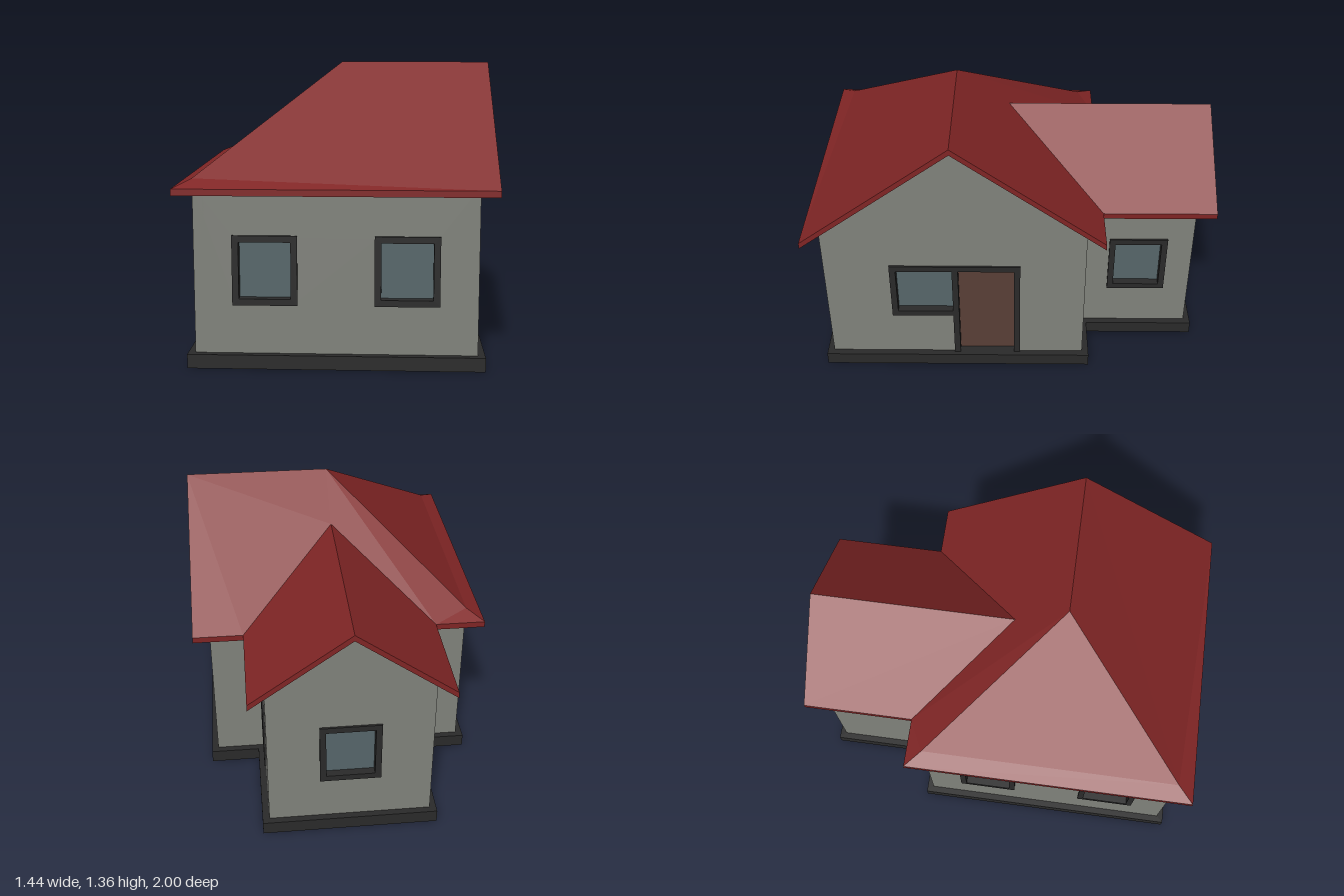
import * as THREE from 'three';

const mat = (color) => new THREE.MeshStandardMaterial({ color, flatShading: true, side: THREE.DoubleSide });
const WALL = 0.05; // wall thickness

function polygon(points) {
  return new THREE.Shape(points.map(([x, y]) => new THREE.Vector2(x, y)));
}
const rect = (x0, x1, y0, y1) => polygon([[x0, y0], [x1, y0], [x1, y1], [x0, y1]]);

function extrude(shape, depth, z = 0) {
  return new THREE.ExtrudeGeometry(shape, { depth, bevelEnabled: false }).translate(0, 0, z);
}

// Slab from top triangles: a copy lowered by `drop`, and a fascia along every open edge
function slab(tris, drop) {
  const pos = [];
  const low = ([x, y, z]) => [x, y - drop, z];
  const put = (...pts) => pts.forEach((p) => pos.push(...p));
  const edges = new Set();
  tris.forEach((t) => t.forEach((p, i) => edges.add(p + '|' + t[(i + 1) % 3])));
  for (const t of tris) {
    put(...t);
    put(low(t[2]), low(t[1]), low(t[0]));
    t.forEach((a, i) => {
      const b = t[(i + 1) % 3];
      if (edges.has(b + '|' + a)) return;
      put(a, low(a), low(b), a, low(b), b);
    });
  }
  const g = new THREE.BufferGeometry();
  g.setAttribute('position', new THREE.Float32BufferAttribute(pos, 3));
  g.computeVertexNormals();
  return g;
}

export function createModel() {
  const model = new THREE.Group();
  const wallMat = mat(0x80827b), roofMat = mat(0x802525), frameMat = mat(0x2a2a2a);
  const glassMat = mat(0x56666a), doorMat = mat(0x593f36);

  function add(parent, name, geometry, material) {
    const mesh = new THREE.Mesh(geometry, material);
    mesh.name = name;
    parent.add(mesh);
    return mesh;
  }

  // Wall facing local +z with its outer face at 0; each opening gets a frame and a panel
  function wall(name, outline, x, z, turn, openings = []) {
    const group = new THREE.Group();
    group.name = name;
    group.position.set(x, 0, z);
    group.rotation.y = turn * Math.PI / 2;
    const shape = polygon(outline);
    for (const { box: [x0, x1, y0, y1], hole = [x0 + 0.01, x1 - 0.01, y0 + 0.01, y1 - 0.01], border = 0.03, door } of openings) {
      shape.holes.push(rect(...hole));
      const inner = [x0 + border, x1 - border, y0 + border, y1 - border];
      const frame = rect(x0, x1, y0, y1);
      frame.holes.push(rect(...inner));
      add(group, door ? 'doorFrame' : 'windowFrame', extrude(frame, WALL + 0.02, -WALL - 0.01), frameMat);
      add(group, door ? 'door' : 'windowGlass', extrude(rect(...inner), 0.01, -0.04), door ? doorMat : glassMat);
    }
    add(group, name + 'Panel', extrude(shape, WALL, -WALL), wallMat);
    model.add(group);
  }
  const window = (cx) => ({ box: [cx - 0.147, cx + 0.147, 0.29, 0.61] });
  const block = (x0, x1, top) => [[x0, 0.03], [x1, 0.03], [x1, top], [x0, top]];

  // Main block
  wall('frontWall', block(-0.64, 0.64, 0.84), 0, 0.92, 0, [window(-0.32), window(0.32)]);
  wall('hipSideWall', block(-0.36, 0.92, 0.84), -0.64, 0, -1, [window(-0.04), window(0.6)]);
  wall('gableWall', [[-0.92, 0.03], [0.36, 0.03], [0.36, 0.855], [-0.28, 1.333], [-0.92, 0.855]], 0.64, 0, 1, [
    { box: [-0.6, -0.265, 0.315, 0.632], hole: [-0.59, -0.285, 0.325, 0.622] },
    { box: [-0.295, 0.04, 0.035, 0.632], hole: [-0.275, 0.03, 0.045, 0.622], door: true },
  ]);
  for (const s of [-1, 1]) {
    wall('backWall', block(s * 0.5175 - 0.1225, s * 0.5175 + 0.1225, 0.85), 0, -0.36, 2);
  }

  // Rear wing
  wall('wingRightWall', block(0.36, 0.915, 0.85), 0.395, 0, 1, [window(0.64)]);
  wall('wingLeftWall', block(-0.915, -0.36, 0.85), -0.395, 0, -1);
  wall('wingGableWall', [[-0.395, 0.03], [0.395, 0.03], [0.395, 0.85], [0, 1.138], [-0.395, 0.85]], 0, -0.915, 2, [window(0)]);

  // Plinth: a T-shaped ring, open below
  const plan = (d) => polygon([
    [-0.64 - d, -0.92 - d], [0.64 + d, -0.92 - d], [0.64 + d, 0.36 + d], [0.395 + d, 0.36 + d],
    [0.395 + d, 0.915 + d], [-0.395 - d, 0.915 + d], [-0.395 - d, 0.36 + d], [-0.64 - d, 0.36 + d],
  ]);
  const ring = plan(0.033);
  ring.holes.push(plan(-0.06));
  add(model, 'plinth', extrude(ring, 0.065).rotateX(-Math.PI / 2), frameMat);

  // Roof corners: eaves, hip kinks, ridges and valleys
  const frontL = [-0.72, 0.83, 1], frontR = [0.72, 0.83, 1];
  const backL = [-0.72, 0.83, -0.445], backR = [0.72, 0.83, -0.445];
  const kinkF = [-0.64, 0.866, 0.92], kinkB = [-0.64, 0.866, -0.365];
  const ridgeL = [0, 1.36, 0.278], ridgeR = [0.72, 1.36, 0.278];
  const valleyL = [-0.475, 0.83, -0.445], valleyR = [0.475, 0.83, -0.445];
  const wingIn = [0, 1.17, 0.02], wingOut = [0, 1.17, -1];
  const wingL = [-0.475, 0.83, -1], wingR = [0.475, 0.83, -1];
  add(model, 'roof', slab([
    // front slope
    [frontL, frontR, kinkF], [kinkF, frontR, ridgeR], [kinkF, ridgeR, ridgeL],
    // hip
    [backL, frontL, kinkF], [backL, kinkF, kinkB], [kinkB, kinkF, ridgeL],
    // back slope around the wing
    [valleyL, backL, kinkB], [valleyL, kinkB, ridgeL], [valleyL, ridgeL, wingIn],
    [wingIn, ridgeL, ridgeR], [wingIn, ridgeR, valleyR], [valleyR, ridgeR, backR],
    // wing slopes
    [wingL, valleyL, wingIn], [wingL, wingIn, wingOut],
    [valleyR, wingR, wingOut], [valleyR, wingOut, wingIn],
  ], 0.03), roofMat);

  return model;
}
